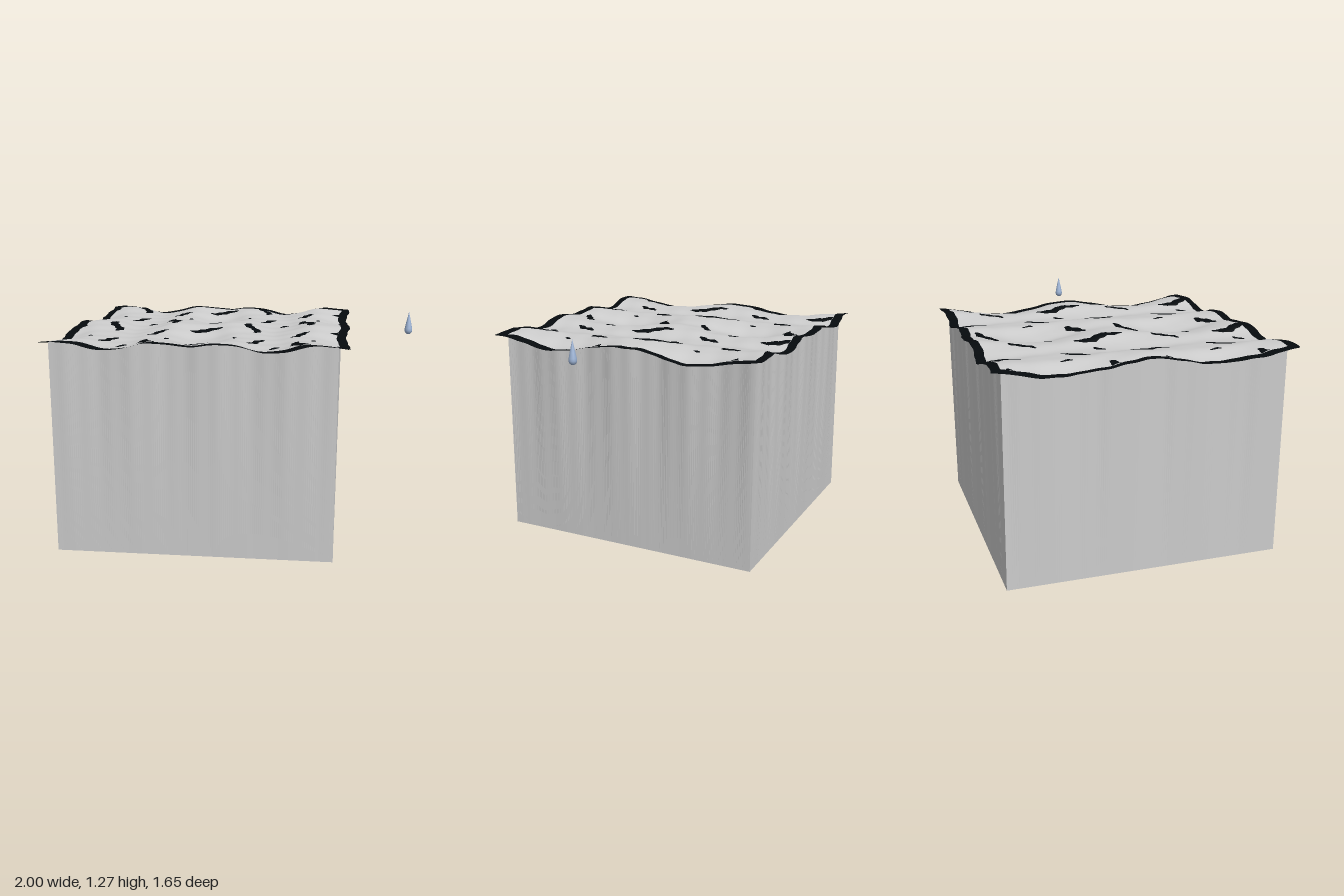
import * as THREE from 'three';

const P = 0.815;              // wave period
const N = 140;                // cells per side
const X0 = -0.94, X1 = 0.58, Z0 = -0.755, Z1 = 0.77;
const TAU = Math.PI * 2;

// Wave height, repeating every P in both directions
function height(x, z) {
  const cz = Math.cos(TAU * z / P), cx = Math.cos(TAU * (x + 0.2) / P);
  return 1.152 + 0.028 * cz * (0.45 + 0.55 * cx)
    + 0.013 * Math.cos(2 * TAU * (x + 0.4) / P)
    + 0.003 * Math.sin(TAU * (3 * x + 2 * z) / P) * Math.sin(TAU * (2 * x - 3 * z) / P);
}

// Dark streaks inside one period: x, z, half length, half width, direction x, direction z
const streaks = [
  [-0.19, -0.67, 0.10, 0.030, 1, -0.4],
  [-0.15, -0.15, 0.085, 0.024, 1, -0.4],
  [-0.43, -0.10, 0.15, 0.030, 0.07, 0.25],
  [-0.74, 0.09, 0.13, 0.029, 0.07, 0.22],
  [-0.45, -0.53, 0.085, 0.021, 0.13, -0.15],
  [-0.68, -0.30, 0.085, 0.021, 0.12, -0.15],
  [-0.57, -0.14, 0.035, 0.018, 1, -0.5],
  [-0.81, -0.39, 0.035, 0.012, 0.1, -0.3],
  [-0.37, -0.37, 0.025, 0.011, 0.1, -0.2],
];
const wrap = d => d - P * Math.round(d / P);

// Positive inside a streak, negative outside
function streakLevel(x, z) {
  let best = -1;
  for (const [sx, sz, L, W, dx, dz] of streaks) {
    const len = Math.hypot(dx, dz), px = wrap(x - sx), pz = wrap(z - sz);
    const u = (px * dx + pz * dz) / len;
    const v = (pz * dx - px * dz) / len + 0.012 * Math.sin(u * 30) + 0.005 * Math.sin(u * 95 + sx * 9);
    best = Math.max(best, 1 - (u / L) ** 2 - (v / W) ** 2);
  }
  return best;
}

// Point at fractions a, b of the footprint grown by o; the outline ripples at the top only (lift 1)
const ripple = t => Math.sin(2 * TAU * t / P) + 0.25 * Math.sin(7 * TAU * t / P);
function place(a, b, o, lift) {
  const x = X0 - o + (X1 - X0 + 2 * o) * a, z = Z0 - o + (Z1 - Z0 + 2 * o) * b;
  return [x + 0.01 * lift * ripple(z + 0.06), z + 0.008 * lift * ripple(x + 0.18)];
}

function build(rows, cols, point, flip) {
  const pos = [], idx = [];
  for (let r = 0; r <= rows; r++)
    for (let c = 0; c <= cols; c++) pos.push(...point(r, c));
  for (let r = 0; r < rows; r++) {
    for (let c = 0; c < cols; c++) {
      const p = r * (cols + 1) + c, q = p + cols + 1;
      if (flip) idx.push(p, q + 1, p + 1, p, q, q + 1);
      else idx.push(p, p + 1, q + 1, p, q + 1, q);
    }
  }
  const g = new THREE.BufferGeometry();
  g.setAttribute('position', new THREE.Float32BufferAttribute(pos, 3));
  g.setIndex(idx);
  g.computeVertexNormals();
  return g;
}

// Upward sheet over the footprint
const sheet = offset => build(N, N, (r, c) => {
  const [x, z] = place(c / N, r / N, 0, 1);
  return [x, height(x, z) + offset(x, z), z];
}, true);

// Band around the footprint; each profile entry is [outward offset, lift: 0 ground or 1 wave edge]
function band(profile, flip) {
  return build(profile.length - 1, 4 * N, (r, c) => {
    const side = Math.floor(c / N) % 4, t = (c % N) / N;
    const [a, b] = [[t, 1], [1, 1 - t], [1 - t, 0], [0, t]][side];
    const [o, lift] = profile[r];
    const [x, z] = place(a, b, o, lift);
    return [x, lift * height(...place(a, b, 0, 1)), z];
  }, flip);
}

export function createModel() {
  const group = new THREE.Group();
  const grey = new THREE.MeshStandardMaterial({ color: 0xcccccc });
  const greyFlat = new THREE.MeshStandardMaterial({ color: 0xcccccc, flatShading: true });
  const dark = new THREE.MeshStandardMaterial({ color: 0x060a0d, side: THREE.DoubleSide });
  const blue = new THREE.MeshStandardMaterial({ color: 0x9db4d6 });
  const add = (name, geometry, material) => {
    const mesh = new THREE.Mesh(geometry, material);
    mesh.name = name;
    group.add(mesh);
    return mesh;
  };

  // Water block
  add('waterSurface', sheet(() => 0), grey);
  add('waterSides', band([[0, 0], [0, 1]], false), greyFlat);
  const base = add('waterBase', new THREE.PlaneGeometry(X1 - X0, Z1 - Z0).rotateX(Math.PI / 2), grey);
  base.position.set((X0 + X1) / 2, 0, (Z0 + Z1) / 2);

  // Dark streaks rising through the surface
  add('surfaceStreaks', sheet((x, z) => 0.004 * Math.max(-1, streakLevel(x, z))), dark);

  // Thin dark lip following the wave edge
  add('darkRim', band([[0, 1], [0.052, 1]], true), dark);

  // Falling drop
  const profile = [[0, 0], [0.011, 0.003], [0.019, 0.011], [0.022, 0.022], [0.021, 0.035],
    [0.015, 0.065], [0.007, 0.1], [0, 0.132]].map(p => new THREE.Vector2(...p));
  add('waterDrop', new THREE.LatheGeometry(profile, 16), blue).position.set(0.978, 1.138, 0.07);

  return group;
}
